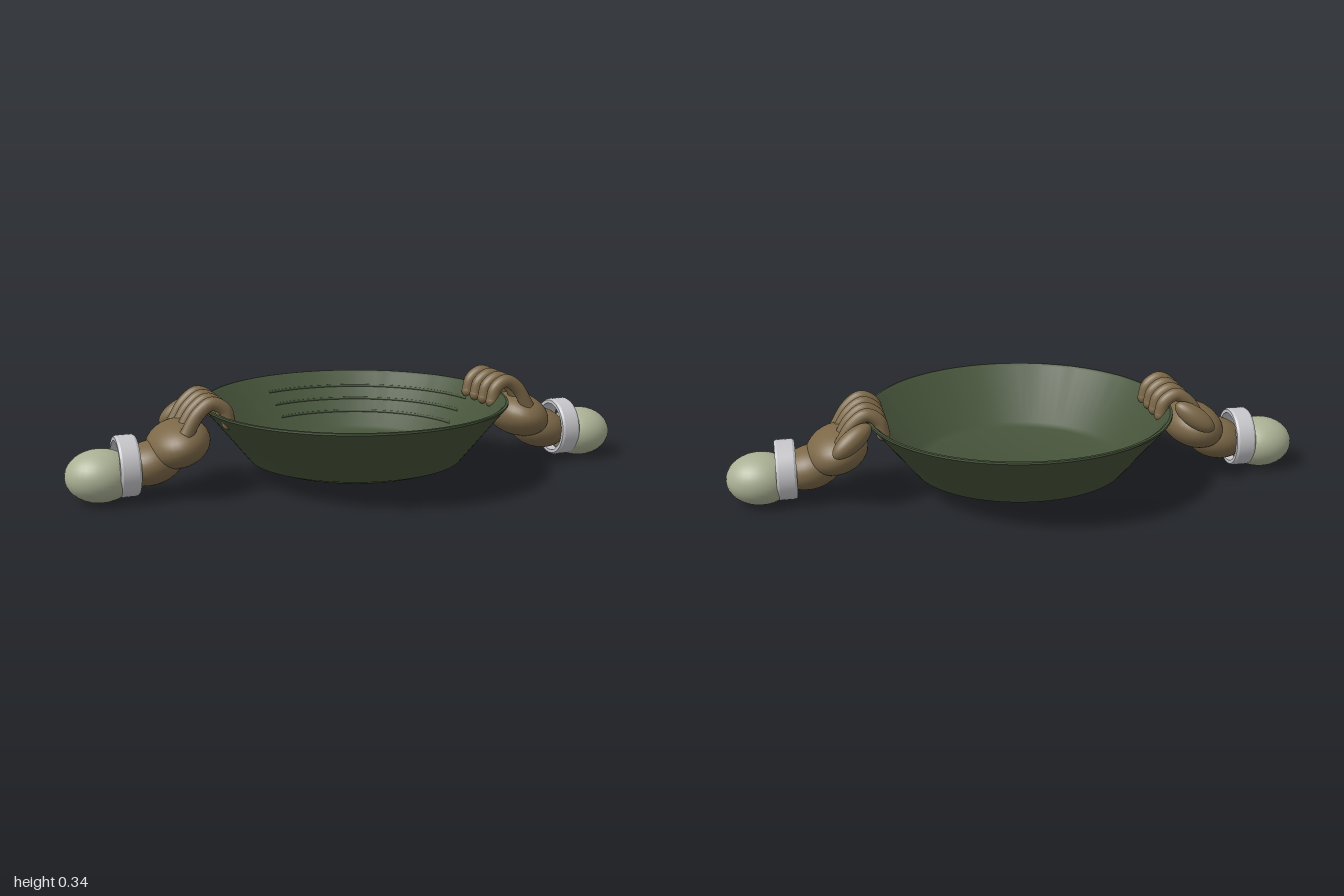
import * as THREE from 'three';
import { toCreasedNormals } from 'three/addons/utils/BufferGeometryUtils.js';

const material = (name, color) => Object.assign(new THREE.MeshStandardMaterial({ color }), { name });
const V = (x, y, z) => new THREE.Vector3(x, y, z);

export function createModel() {
  const model = new THREE.Group();
  model.name = 'bowlHeldByTwoHands';
  const green = material('darkGreen', 0x46533a);
  const brown = material('gloveBrown', 0x7c6848);
  const cream = material('paleSleeve', 0xaab094);
  const grey = material('cuffGrey', 0xc6c6ca);

  const add = (parent, name, geometry, mat) => {
    const mesh = new THREE.Mesh(geometry, mat);
    mesh.name = name;
    parent.add(mesh);
    return mesh;
  };
  const ellipsoid = (parent, name, mat, pos, radii) => {
    const mesh = add(parent, name, new THREE.SphereGeometry(1, 32, 20), mat);
    mesh.position.set(...pos);
    mesh.scale.set(...radii);
    return mesh;
  };
  const lathe = (points, segments) => toCreasedNormals(
    new THREE.LatheGeometry(points.map(p => new THREE.Vector2(...p)), segments), 0.5);

  // Bowl: bottom, outer wall, rolled rim, inner wall, floor
  add(model, 'bowl', lathe([
    [0, 0.06], [0.315, 0.06], [0.37, 0.08], [0.52, 0.265], [0.526, 0.271], [0.525, 0.277],
    [0.517, 0.278], [0.508, 0.272], [0.36, 0.097], [0.335, 0.085], [0, 0.08],
  ], 96), green);

  // Raised arcs on the inner back wall
  [0.47, 0.435, 0.4].forEach((r, i) => {
    const y = 0.097 + (r - 0.36) * 1.182;
    const points = [];
    for (let k = 0; k <= 16; k++) {
      const a = THREE.MathUtils.degToRad(-112 + k * 6.4);
      points.push(V(r * Math.cos(a), y, r * Math.sin(a)));
    }
    add(model, 'bowlArc' + (i + 1),
      new THREE.TubeGeometry(new THREE.CatmullRomCurve3(points), 48, 0.005, 8), green);
  });

  // Hands, mirrored with both thumbs to the back
  for (const s of [1, -1]) {
    const hand = new THREE.Group();
    hand.name = s > 0 ? 'leftHand' : 'rightHand';
    model.add(hand);

    ellipsoid(hand, 'sleeve', cream, [s * 0.885, 0.088, 0], [0.115, 0.088, 0.105]);

    const cuff = add(hand, 'cuff', lathe([
      [0.086, 0.034], [0.086, -0.034], [0.098, -0.034], [0.103, -0.026],
      [0.103, 0.026], [0.098, 0.034], [0.086, 0.034],
    ], 40), grey);
    cuff.position.set(s * 0.801, 0.113, 0);
    cuff.rotation.z = Math.PI / 2;

    ellipsoid(hand, 'wrist', brown, [s * 0.715, 0.117, 0], [0.108, 0.073, 0.096]).rotation.z = -s * 0.25;
    ellipsoid(hand, 'palm', brown, [s * 0.627, 0.175, 0], [0.108, 0.078, 0.143]).rotation.z = -s * 0.3;

    // Fingers hooked over the rim
    [0.097, 0.032, -0.032, -0.097].forEach((z, i) => {
      const path = [[0.62, 0.22], [0.578, 0.288], [0.532, 0.319], [0.49, 0.295], [0.478, 0.25]]
        .map(([x, y]) => V(s * x, y, z));
      add(hand, 'finger' + (i + 1),
        new THREE.TubeGeometry(new THREE.CatmullRomCurve3(path), 28, 0.023, 14), brown);
      ellipsoid(hand, 'fingertip' + (i + 1), brown, path[4].toArray(), [0.023, 0.023, 0.023]);
    });

    const thumb = ellipsoid(hand, 'thumb', brown, [s * 0.585, 0.25, -0.147], [0.036, 0.08, 0.036]);
    thumb.quaternion.setFromUnitVectors(V(0, 1, 0), V(-s * 0.105, 0.075, 0.035).normalize());
  }
  return model;
}
